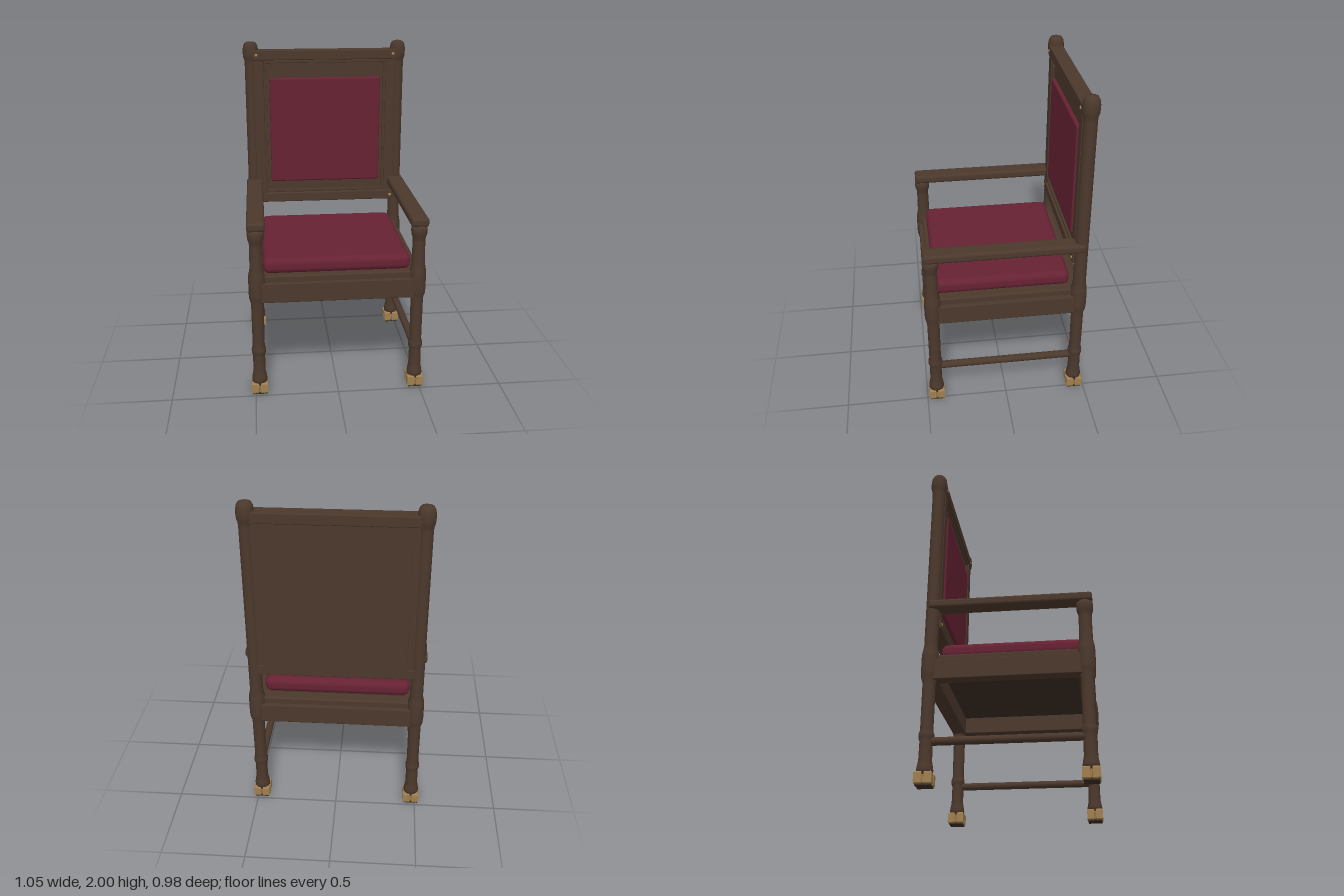
import * as THREE from 'three';
import { RoundedBoxGeometry } from 'three/addons/geometries/RoundedBoxGeometry.js';

const wood = new THREE.MeshStandardMaterial({ color: 0x4b382c });
const darkWood = new THREE.MeshStandardMaterial({ color: 0x3c2d22 });
const velvet = new THREE.MeshStandardMaterial({ color: 0x662233 });
const brass = new THREE.MeshStandardMaterial({ color: 0xa08050 });

const LEG_X = 0.475, LEG_Z = 0.44;

export function createModel() {
  const chair = new THREE.Group();
  chair.name = 'armchair';

  const add = (name, geometry, material, x, y, z) => {
    const mesh = new THREE.Mesh(geometry, material);
    mesh.name = name;
    mesh.position.set(x, y, z);
    chair.add(mesh);
    return mesh;
  };
  // Rounded box given by its min and max on each axis
  const block = (name, material, [x0, x1], [y0, y1], [z0, z1], r = 0.006) =>
    add(name, new RoundedBoxGeometry(x1 - x0, y1 - y0, z1 - z0, 3, r), material,
      (x0 + x1) / 2, (y0 + y1) / 2, (z0 + z1) / 2);
  const turned = (points) =>
    new THREE.LatheGeometry(points.map(([r, y]) => new THREE.Vector2(r, y)), 24);

  // Turned posts: a shared lower half, then an arm support or a tall back post
  const lower = [
    [0, 0.06], [0.045, 0.06], [0.046, 0.09], [0.042, 0.115], [0.037, 0.14], [0.036, 0.25],
    [0.042, 0.265], [0.043, 0.28], [0.042, 0.293], [0.036, 0.31], [0.037, 0.585],
    [0.047, 0.62], [0.049, 0.65], [0.049, 0.74], [0.047, 0.77], [0.039, 0.81],
  ];
  const frontPost = turned([...lower, [0.037, 0.95], [0.039, 0.97], [0.046, 0.99],
    [0.048, 1.015], [0.046, 1.045], [0, 1.05]]);
  const backPost = turned([...lower, [0.039, 1.86], [0.041, 1.885], [0.047, 1.9], [0.049, 1.92],
    [0.049, 1.95], [0.045, 1.975], [0.036, 1.992], [0.018, 1.999], [0, 2]]);

  // Brass foot: a square with a notch in the middle of each side
  const footShape = new THREE.Shape();
  const side = [[-0.045, -0.045], [-0.009, -0.045], [-0.005, -0.035], [0.005, -0.035], [0.009, -0.045]];
  const outline = [];
  for (let i = 0; i < 4; i++) {
    const c = Math.round(Math.cos(i * Math.PI / 2)), s = Math.round(Math.sin(i * Math.PI / 2));
    side.forEach(([x, y]) => outline.push(new THREE.Vector2(x * c - y * s, x * s + y * c)));
  }
  footShape.setFromPoints(outline);
  const footGeometry = new THREE.ExtrudeGeometry(footShape, {
    depth: 0.054, bevelEnabled: true, bevelSize: 0.004, bevelThickness: 0.006, bevelSegments: 1,
  });
  footGeometry.rotateX(-Math.PI / 2);

  for (const s of [-1, 1]) {
    const sideName = s > 0 ? 'left' : 'right';
    add(sideName + 'FrontPost', frontPost, wood, s * LEG_X, 0, LEG_Z);
    add(sideName + 'BackPost', backPost, wood, s * LEG_X, 0, -LEG_Z);
    for (const z of [-LEG_Z, LEG_Z]) {
      add('foot', footGeometry, brass, s * LEG_X, 0.014, z);
      add('footPad', new THREE.BoxGeometry(0.084, 0.012, 0.084), darkWood, s * LEG_X, 0.006, z);
    }
    // Side stretcher
    const stretcher = new THREE.CylinderGeometry(0.023, 0.023, 2 * LEG_Z, 16);
    stretcher.rotateX(Math.PI / 2);
    add(sideName + 'Stretcher', stretcher, wood, s * LEG_X, 0.248, 0);
    // Armrest
    add(sideName + 'Armrest', new RoundedBoxGeometry(0.105, 0.055, 0.945, 4, 0.018), wood,
      s * 0.4725, 1.0675, 0.0125);
    // Side apron and the stepped moulding above it
    add(sideName + 'Apron', new RoundedBoxGeometry(0.075, 0.12, 0.9, 2, 0.005), wood, s * 0.4725, 0.66, 0);
    add(sideName + 'SeatMoulding', new RoundedBoxGeometry(0.08, 0.05, 0.86, 3, 0.012), wood,
      s * 0.44, 0.735, 0);
    // Back stile
    block(sideName + 'Stile', wood, s > 0 ? [0.395, 0.46] : [-0.46, -0.395], [0.945, 1.94], [-0.468, -0.398]);
  }

  // Front and back aprons
  for (const s of [-1, 1]) {
    const name = s > 0 ? 'front' : 'back';
    add(name + 'Apron', new RoundedBoxGeometry(0.93, 0.12, 0.085, 2, 0.005), wood, 0, 0.66, s * 0.435);
    add(name + 'SeatMoulding', new RoundedBoxGeometry(0.9, 0.05, 0.08, 3, 0.012), wood, 0, 0.735, s * 0.413);
  }
  add('seatBoard', new THREE.BoxGeometry(0.9, 0.04, 0.84), darkWood, 0, 0.725, 0);
  block('seatCushion', velvet, [-0.435, 0.435], [0.755, 0.85], [-0.392, 0.426], 0.038);

  // Back frame rails, panel and padding
  block('topRail', wood, [-0.465, 0.465], [1.885, 1.947], [-0.478, -0.392]);
  block('bottomRail', wood, [-0.465, 0.465], [0.938, 1.0], [-0.474, -0.392]);
  block('backPanel', wood, [-0.41, 0.41], [0.95, 1.935], [-0.474, -0.418], 0.003);

  // Thin moulding framing the panel
  const rect = (Type, w, y0, y1) => new Type([
    [-w, y0], [w, y0], [w, y1], [-w, y1]].map(([x, y]) => new THREE.Vector2(x, y)));
  const moulding = rect(THREE.Shape, 0.395, 1.005, 1.88);
  moulding.holes.push(rect(THREE.Path, 0.383, 1.017, 1.868));
  add('panelMoulding', new THREE.ExtrudeGeometry(moulding, {
    depth: 0.012, bevelEnabled: true, bevelSize: 0.003, bevelThickness: 0.003, bevelSegments: 2,
  }), wood, 0, 0, -0.42);
  block('backCushion', velvet, [-0.36, 0.36], [1.08, 1.77], [-0.43, -0.396], 0.012);

  // Brass studs at the frame corners
  for (const x of [-0.44, 0.44]) for (const y of [0.968, 1.918]) {
    const stud = add('stud', new THREE.SphereGeometry(0.01, 12, 8), brass, x, y, -0.391);
    stud.scale.z = 0.6;
  }
  return chair;
}
